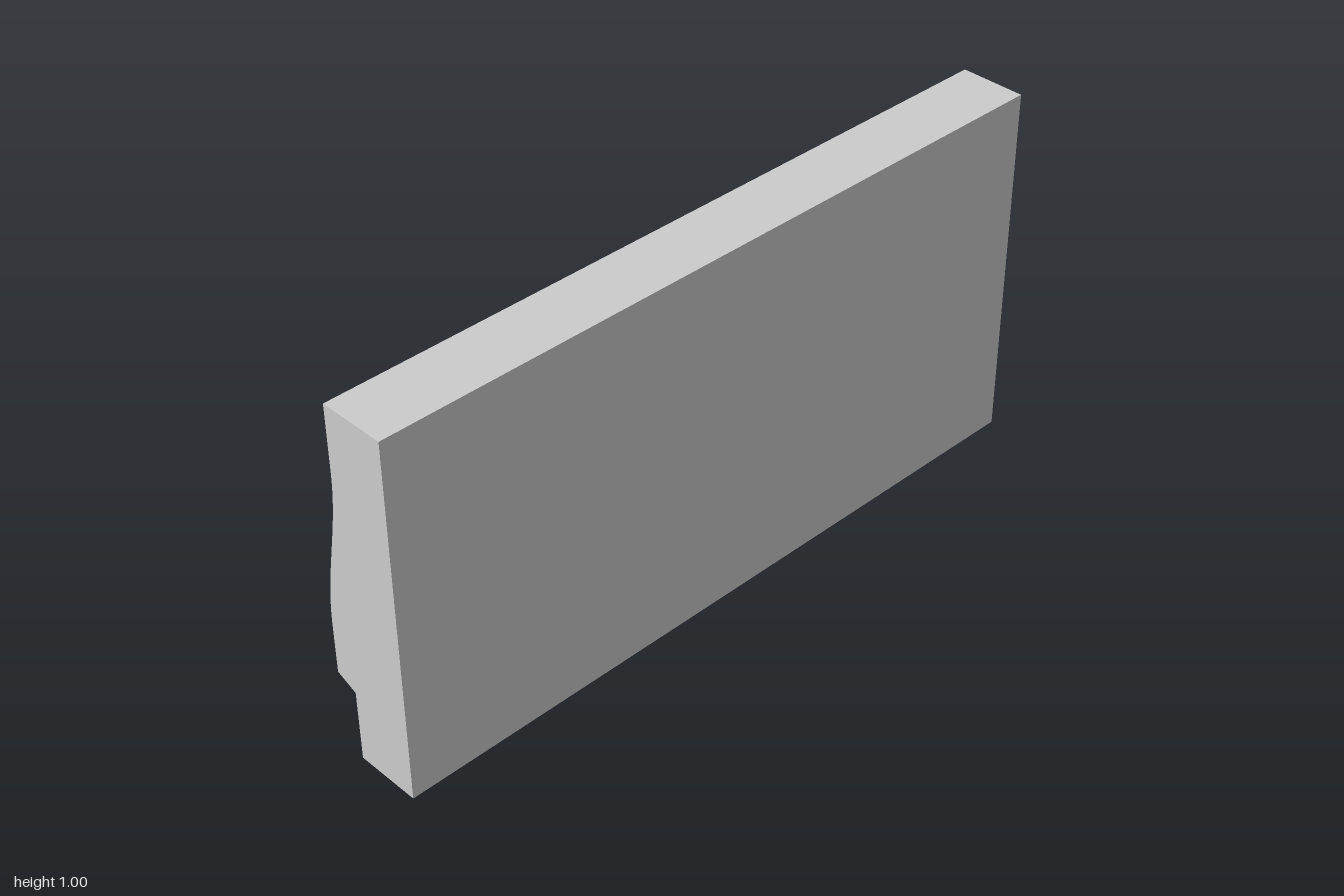
import * as THREE from 'three';
import { toCreasedNormals } from 'three/addons/utils/BufferGeometryUtils.js';

const { smoothstep } = THREE.MathUtils;
const FRONT = 0.12, BACK = -0.06;

// Extrudes a [z, y] outline along x, centred on the given x
function extrudeAlongX(outline, width, centerX) {
  const shape = new THREE.Shape(outline.map(([z, y]) => new THREE.Vector2(z, y)));
  const g = new THREE.ExtrudeGeometry(shape, { depth: width, bevelEnabled: false });
  return g.rotateY(-Math.PI / 2).translate(centerX + width / 2, 0, 0);
}

// Side rail outline: straight, swelling backwards below the middle, with a stepped foot
function sideOutline() {
  const pts = [[FRONT, 0], [FRONT, 1], [BACK, 1]];
  for (let i = 0; i <= 20; i++) {
    const y = 0.82 - i * 0.0225;
    pts.push([BACK - 0.06 * bulge(y), y]);
  }
  pts.push([-0.12, 0.225], [BACK, 0.2], [BACK, 0]);
  return pts;
}

function bulge(y) {
  return 1 - smoothstep(y, 0.37, 0.82);
}

function sideRail(side) {
  const g = extrudeAlongX(sideOutline(), 0.1, side * 0.95);
  const p = g.attributes.position;
  // Slant the inner cheek
  for (let i = 0; i < p.count; i++) {
    if (Math.abs(p.getX(i)) < 0.95) p.setX(i, side * (0.92 - (p.getZ(i) + 0.12) * 0.25));
  }
  return toCreasedNormals(g, 0.5);
}

// Depth of the carved field: swelling ground, diagonal waves and a two-armed swirl
function reliefZ(x, y) {
  const t = (x * 0.5 - y * 0.65) / 0.82;
  const fade = smoothstep(0.9 - Math.abs(x), 0, 0.15) * smoothstep(y, 0.2, 0.35) * smoothstep(0.88 - y, 0, 0.15);
  let z = 0.035 - 0.055 * bulge(y) - 0.02 * fade * Math.sin(9 * (t + 0.66));
  z += (0.065 - z) * (1 - smoothstep(y, 0.195, 0.222));

  const dx = 0.5 - x, dy = y - 0.5;
  const r = Math.hypot(dx, dy), a = Math.atan2(dy, dx);
  const arms = Math.cos(2 * (a + 13 * r)) * Math.min(1, r / 0.1);
  const swirl = -0.02 - 0.032 * arms + 0.02 * Math.exp(-r * r / 0.006);
  const edge = 0.345 + 0.008 * Math.sin(9 * a);
  return z + (swirl - z) * (1 - smoothstep(r, edge - 0.04, edge + 0.012));
}

function reliefPanel() {
  const g = new THREE.PlaneGeometry(1.82, 0.84, 200, 130);
  g.rotateY(Math.PI).translate(0, 0.5, 0);
  const p = g.attributes.position;
  for (let i = 0; i < p.count; i++) p.setZ(i, reliefZ(p.getX(i), p.getY(i)));
  g.computeVertexNormals();
  return g;
}

export function createModel() {
  const group = new THREE.Group();
  const stone = new THREE.MeshStandardMaterial({ color: 0xcccccc });
  stone.name = 'pale grey stone';
  const add = (name, geometry) => {
    const mesh = new THREE.Mesh(geometry, stone);
    mesh.name = name;
    group.add(mesh);
  };

  // Flat front slab
  add('frontSlab', new THREE.BoxGeometry(1.8, 1, 0.05).translate(0, 0.5, 0.095));

  // Frame around the back
  add('leftRail', sideRail(1));
  add('rightRail', sideRail(-1));
  add('topRail', extrudeAlongX(
    [[0.07, 1], [BACK, 1], [BACK, 0.925], [-0.02, 0.905], [0.035, 0.83], [0.07, 0.81]], 1.81, 0));
  add('bottomRail', extrudeAlongX(
    [[0.07, 0], [0.07, 0.22], [0.03, 0.2], [-0.03, 0.085], [BACK, 0.07], [BACK, 0]], 1.81, 0));

  // Carved field inside the frame
  add('carvedRelief', reliefPanel());
  return group;
}
